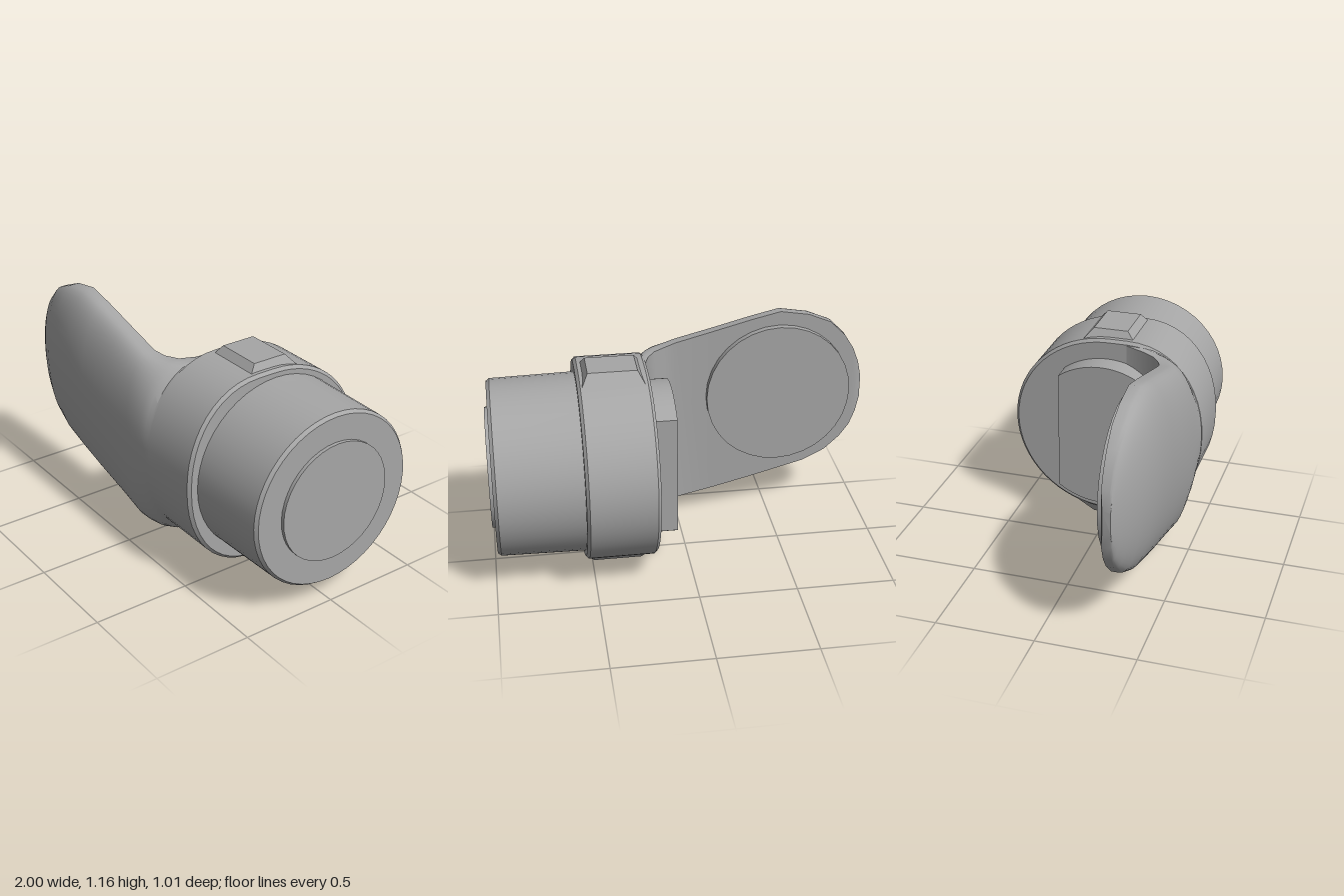
import * as THREE from 'three';
import { toCreasedNormals } from 'three/addons/utils/BufferGeometryUtils.js';

const CY = 0.55; // height of the barrel axis
const STEPS = 24;

// Front half of a cross-section, from top to bottom, as [y, z] pairs
function frontCurve(yBot, yTop, zEdge, zFront, p) {
  const mid = (yTop + yBot) / 2, half = (yTop - yBot) / 2, pts = [];
  for (let i = 0; i <= STEPS; i++) {
    const a = Math.PI / 2 - (i / STEPS) * Math.PI;
    const s = Math.sin(a), c = Math.max(0, Math.cos(a));
    pts.push([
      mid + half * Math.sign(s) * Math.abs(s) ** (2 / p),
      zEdge + (zFront - zEdge) * c ** (2 / p),
    ]);
  }
  return pts;
}

// Skin a run of closed cross-sections along x
function loft(sections) {
  const pos = [], idx = [], n = sections[0].ring.length;
  for (const { x, ring } of sections) for (const [y, z] of ring) pos.push(x, y, z);
  for (let k = 0; k < sections.length - 1; k++) {
    for (let i = 0; i < n; i++) {
      const j = (i + 1) % n, a = k * n + i, b = k * n + j;
      idx.push(a, b, b + n, a, b + n, a + n);
    }
  }
  const e = (sections.length - 1) * n;
  for (let i = 1; i < n - 1; i++) idx.push(0, i + 1, i, e, e + i, e + i + 1);
  const g = new THREE.BufferGeometry();
  g.setAttribute('position', new THREE.Float32BufferAttribute(pos, 3));
  g.setIndex(idx);
  return g;
}

// Extrude a shape drawn in (-z, y) along +x
function extrudeX(shape, x, depth, bevel) {
  const g = new THREE.ExtrudeGeometry(shape, {
    depth: depth - 2 * bevel, bevelEnabled: bevel > 0, bevelThickness: bevel,
    bevelSize: bevel, bevelOffset: -bevel, bevelSegments: 1, curveSegments: 24,
  });
  return g.rotateY(Math.PI / 2).translate(x + bevel, 0, 0);
}

export function createModel() {
  const model = new THREE.Group();
  const grey = new THREE.MeshStandardMaterial({ color: 0xa6a6a6 });
  grey.name = 'plain grey';
  const add = (name, geometry, crease = 0.55) => {
    const mesh = new THREE.Mesh(toCreasedNormals(geometry, crease), grey);
    mesh.name = name;
    model.add(mesh);
    return mesh;
  };

  // Tongue: x, bottom, top, front z, back z; the last rows fillet into the collar
  const stations = [
    [-1, 0.64, 0.76, 0.37, 0.33],
    [-0.98, 0.56, 0.85, 0.385, 0.32],
    [-0.95, 0.48, 0.93, 0.405, 0.32],
    [-0.9, 0.41, 1.01, 0.43, 0.32],
    [-0.82, 0.335, 1.09, 0.46, 0.32],
    [-0.7, 0.275, 1.14, 0.485, 0.32],
    [-0.55, 0.235, 1.165, 0.5, 0.32],
    [-0.4, 0.195, 1.13, 0.503, 0.32],
    [-0.2, 0.145, 1.077, 0.503, 0.32],
    [0, 0.1, 1.025, 0.503, 0.32],
    [0.06, 0.09, 1.013, 0.503, 0.3],
    [0.12, 0.08, 1.01, 0.503, 0.26],
    [0.16, 0.072, 1.015, 0.503, 0.19],
    [0.185, 0.065, 1.025, 0.503, 0.1],
    [0.21, 0.062, 1.035, 0.503, 0.08],
  ];
  add('tongue', loft(stations.map(([x, yb, yt, zf, zb]) => ({
    x,
    ring: [[yt, zb], ...frontCurve(yb, yt, zb + 0.04, zf, x < 0 ? 2 : 2.15), [yb, zb]],
  }))));

  // Round pad on the back of the tongue
  add('tonguePad', new THREE.CylinderGeometry(0.385, 0.385, 0.05, 32)
    .rotateX(Math.PI / 2).translate(-0.545, 0.705, 0.31));

  // Collar: round at the back, squarer at the front
  const outline = frontCurve(0.055, 1.045, 0.1, 0.505, 2.15)
    .map(([y, z]) => new THREE.Vector2(-z, y));
  for (let i = 0; i <= 32; i++) {
    const a = -Math.PI / 2 + (i / 32) * Math.PI;
    outline.push(new THREE.Vector2(0.507 * Math.cos(a), CY + 0.495 * Math.sin(a)));
  }
  add('collar', extrudeX(new THREE.Shape(outline), 0.185, 0.36, 0.015));

  // Tapered tabs above and below the collar
  for (const side of [1, -1]) {
    const tab = new THREE.BoxGeometry(1, 0.09, 1);
    const p = tab.attributes.position;
    for (let i = 0; i < p.count; i++) {
      const outer = p.getY(i) > 0;
      p.setX(i, p.getX(i) * (outer ? 0.245 : 0.35));
      p.setZ(i, p.getZ(i) * (outer ? 0.18 : 0.34));
    }
    if (side < 0) tab.rotateX(Math.PI);
    tab.translate(0.368, side > 0 ? 1.035 : 0.045, 0);
    add(side > 0 ? 'upperTab' : 'lowerTab', tab, 0.2);
  }

  // Raised block on the collar's inner face: a disc with two flat sides
  const R = 0.39, back = Math.acos(0.23 / R), front = Math.acos(0.3 / R);
  const block = new THREE.Shape();
  block.absarc(0, CY, R, back, Math.PI - front, false);
  block.absarc(0, CY, R, Math.PI + front, 2 * Math.PI - back, false);
  block.closePath();
  add('innerBlock', extrudeX(block, 0.07, 0.14, 0));

  // Barrel with a chamfered rim and a shallow end disc
  const profile = [[0, 0.5], [0.458, 0.5], [0.455, 0.56], [0.448, 0.965], [0.435, 0.982], [0, 0.982]]
    .map(([r, x]) => new THREE.Vector2(r, x));
  add('barrel', new THREE.LatheGeometry(profile, 48)
    .rotateZ(-Math.PI / 2).translate(0, CY, 0));
  add('endDisc', new THREE.CylinderGeometry(0.305, 0.305, 0.03, 40)
    .rotateZ(-Math.PI / 2).translate(0.985, CY, 0));

  return model;
}
